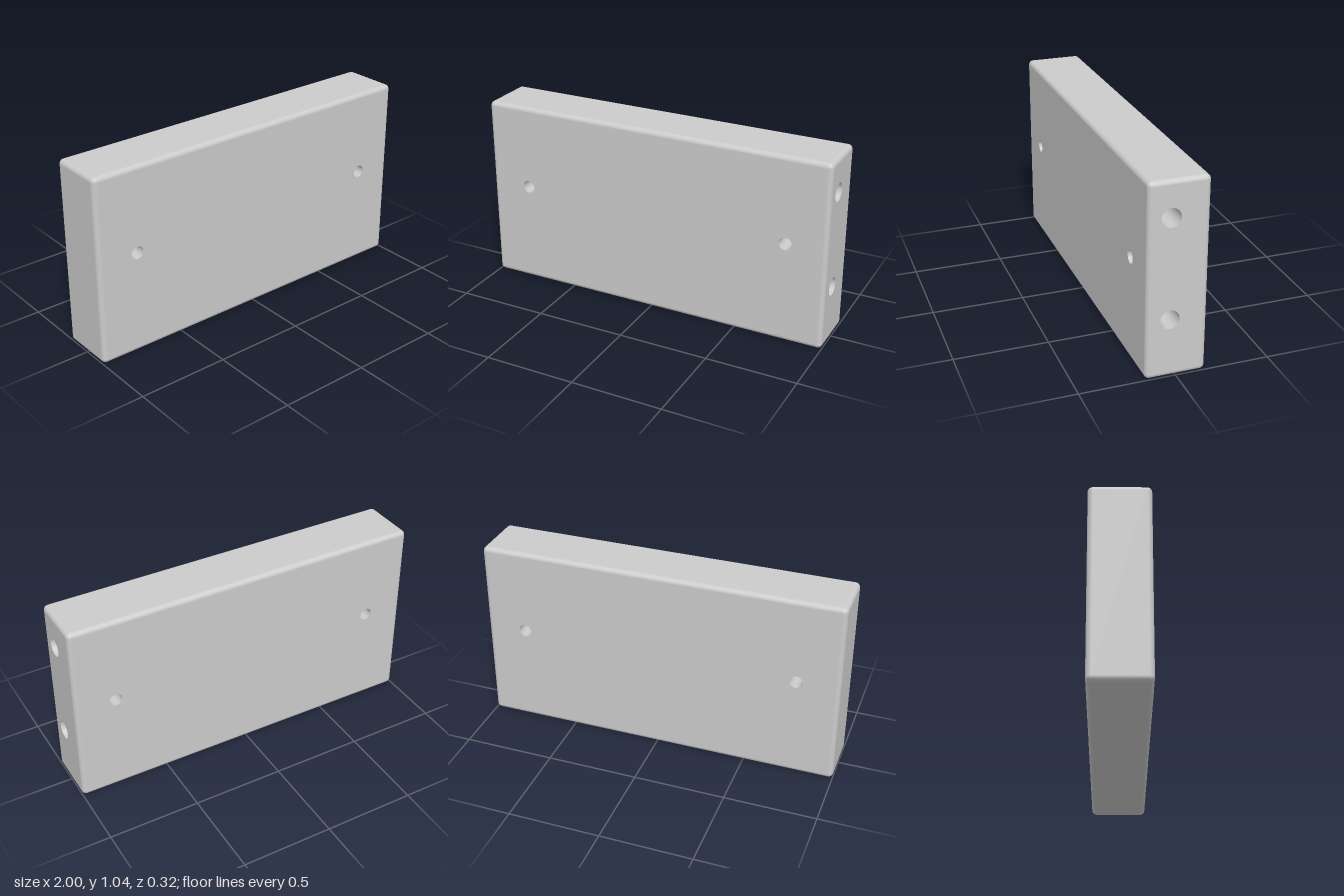
import * as THREE from 'three';
import { RoundedBoxGeometry } from 'three/addons/geometries/RoundedBoxGeometry.js';

const W = 2, H = 1.045, D = 0.316, R = 0.026;
const material = new THREE.MeshStandardMaterial({ color: 0xcccccc });
const boreMaterial = new THREE.MeshStandardMaterial({ color: 0xcccccc, side: THREE.DoubleSide });

// Holes through the thickness: x, y
const throughHoles = [[-0.767, 0.573], [0.775, 0.568]];
const throughRadius = 0.035;
// Blind holes in the +x end: y, z
const endHoles = [[0.855, 0.04], [0.318, 0.036]];
const endRadius = 0.05, endDepth = 0.35;

// Rounded block without the flat middles of the drilled faces
function shellGeometry() {
  const box = new RoundedBoxGeometry(W, H, D, 5, R);
  const pos = box.attributes.position, nor = box.attributes.normal;
  const keptPos = [], keptNor = [];
  for (let i = 0; i < pos.count; i += 3) {
    const ids = [i, i + 1, i + 2];
    const onFace = (test) => ids.every(test);
    if (onFace((k) => Math.abs(pos.getZ(k)) > D / 2 - 1e-5)) continue;
    if (onFace((k) => pos.getX(k) > W / 2 - 1e-5)) continue;
    for (const k of ids) {
      keptPos.push(pos.getX(k), pos.getY(k), pos.getZ(k));
      keptNor.push(nor.getX(k), nor.getY(k), nor.getZ(k));
    }
  }
  const g = new THREE.BufferGeometry();
  g.setAttribute('position', new THREE.Float32BufferAttribute(keptPos, 3));
  g.setAttribute('normal', new THREE.Float32BufferAttribute(keptNor, 3));
  return g.translate(0, H / 2, 0);
}

// Flat rectangle with round holes, centred on the origin and facing +z
function drilledFace(width, height, holes, radius) {
  const a = width / 2, b = height / 2;
  const shape = new THREE.Shape([
    new THREE.Vector2(-a, -b), new THREE.Vector2(a, -b),
    new THREE.Vector2(a, b), new THREE.Vector2(-a, b),
  ]);
  for (const [x, y] of holes) {
    shape.holes.push(new THREE.Path().absarc(x, y, radius, 0, Math.PI * 2, true));
  }
  return new THREE.ShapeGeometry(shape, 24);
}

export function createModel() {
  const group = new THREE.Group();
  const add = (name, geometry, mat = material) => {
    const mesh = new THREE.Mesh(geometry, mat);
    mesh.name = name;
    group.add(mesh);
    return mesh;
  };

  add('blockShell', shellGeometry());

  // Broad faces; the back one is turned round, so its holes mirror in x
  for (const s of [1, -1]) {
    const holes = throughHoles.map(([x, y]) => [s * x, y - H / 2]);
    const face = add(s > 0 ? 'frontFace' : 'backFace',
      drilledFace(W - 2 * R, H - 2 * R, holes, throughRadius));
    face.position.set(0, H / 2, s * D / 2);
    if (s < 0) face.rotation.y = Math.PI;
  }

  // Drilled end face
  const endFace = add('endFace', drilledFace(D - 2 * R, H - 2 * R,
    endHoles.map(([y, z]) => [-z, y - H / 2]), endRadius));
  endFace.rotation.y = Math.PI / 2;
  endFace.position.set(W / 2, H / 2, 0);

  // Bores running from front to back
  for (const [x, y] of throughHoles) {
    const g = new THREE.CylinderGeometry(throughRadius, throughRadius, D, 48, 1, true);
    add('throughBore', g.rotateX(Math.PI / 2), boreMaterial).position.set(x, y, 0);
  }

  // Blind bores with flat bottoms
  for (const [y, z] of endHoles) {
    const g = new THREE.CylinderGeometry(endRadius, endRadius, endDepth, 48, 1, true);
    add('endBore', g.rotateZ(Math.PI / 2), boreMaterial).position.set(W / 2 - endDepth / 2, y, z);
    const bottom = new THREE.CircleGeometry(endRadius, 48).rotateY(Math.PI / 2);
    add('endBoreBottom', bottom, boreMaterial).position.set(W / 2 - endDepth, y, z);
  }
  return group;
}
